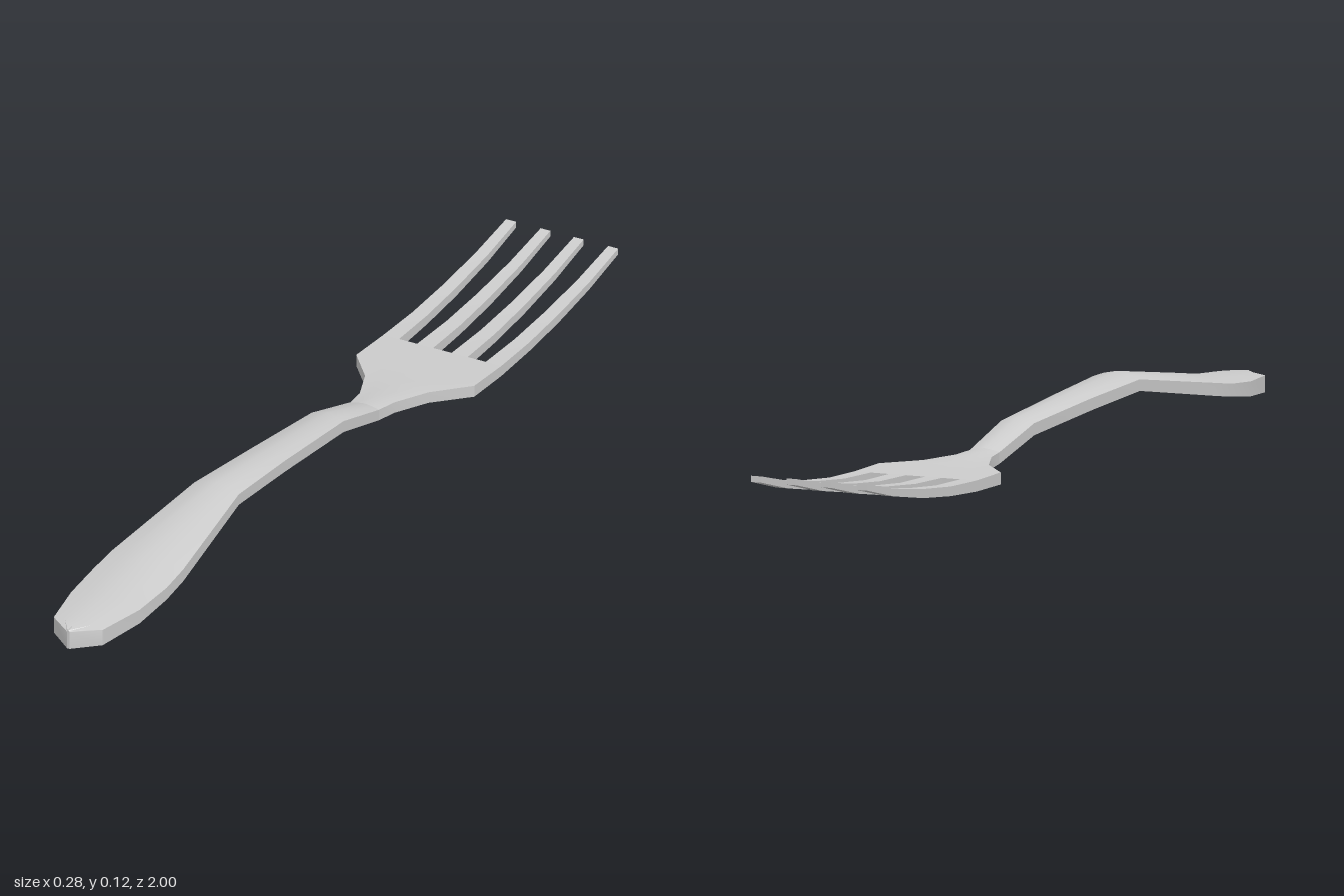
import * as THREE from 'three';
import { toCreasedNormals } from 'three/addons/utils/BufferGeometryUtils.js';

const material = new THREE.MeshStandardMaterial({ color: 0xcccccc });

// Skin a run of equal-sized cross-sections (counter-clockwise seen from +z, running towards -z)
function loft(name, rings) {
  const n = rings[0].length;
  const index = [];
  for (let i = 0; i < rings.length - 1; i++) {
    for (let j = 0; j < n; j++) {
      const a = i * n + j, b = i * n + (j + 1) % n;
      index.push(a, a + n, b, b, a + n, b + n);
    }
  }
  const last = (rings.length - 1) * n;
  for (let k = 1; k < n - 1; k++) {
    index.push(0, k, k + 1, last, last + k + 1, last + k);
  }
  const geometry = new THREE.BufferGeometry();
  geometry.setAttribute('position', new THREE.Float32BufferAttribute(rings.flat(2), 3));
  geometry.setIndex(index);
  const mesh = new THREE.Mesh(toCreasedNormals(geometry, 0.6), material);
  mesh.name = name;
  return mesh;
}

// Flat underside, upright sides and a crowned top
function crownedRing([z, w, bottom, edge, top]) {
  const shoulder = edge + (top - edge) * 0.6;
  return [
    [-w, bottom, z], [w, bottom, z], [w, edge, z],
    [w * 0.55, shoulder, z], [0, top, z], [-w * 0.55, shoulder, z], [-w, edge, z],
  ];
}

export function createModel() {
  const group = new THREE.Group();
  group.name = 'fork';

  // Handle and neck: z, half width, underside, side edge, crown
  const handle = [
    [1.0, 0.003, 0.0, 0.038, 0.042],
    [0.96, 0.058, 0.005, 0.04, 0.047],
    [0.85, 0.081, 0.013, 0.044, 0.056],
    [0.75, 0.087, 0.026, 0.053, 0.068],
    [0.68, 0.085, 0.037, 0.064, 0.079],
    [0.4, 0.053, 0.083, 0.107, 0.121],
    [0.2, 0.045, 0.07, 0.095, 0.106],
    [-0.05, 0.038, 0.051, 0.076, 0.086],
    [-0.2, 0.034, 0.012, 0.036, 0.042],
  ];
  // Flat head that flares out to the roots of the tines
  const head = [
    [-0.2, 0.034, 0.012, 0.036, 0.042],
    [-0.25, 0.041, 0.009, 0.033, 0.037],
    [-0.33, 0.075, 0.006, 0.03, 0.032],
    [-0.405, 0.14, 0.004, 0.029, 0.029],
    [-0.515, 0.14, 0.004, 0.027, 0.027],
  ];
  group.add(loft('handle', handle.map(crownedRing)));
  group.add(loft('head', head.map(crownedRing)));

  // Tines curve upward and taper: z, underside, top
  const curve = [
    [-0.515, 0.004, 0.027], [-0.63, 0.01, 0.03], [-0.75, 0.022, 0.041],
    [-0.88, 0.043, 0.059], [-1.0, 0.071, 0.084],
  ];
  // Inner and outer side of a tine at its root, then at its tip
  const tines = { inner: [0.022, 0.06, 0.028, 0.051], outer: [0.103, 0.14, 0.109, 0.133] };
  for (const [name, [r0, r1, t0, t1]] of Object.entries(tines)) {
    for (const side of [1, -1]) {
      const rings = curve.map(([z, bottom, top], i) => {
        const t = i / (curve.length - 1);
        const a = side * THREE.MathUtils.lerp(r0, t0, t);
        const b = side * THREE.MathUtils.lerp(r1, t1, t);
        const x0 = Math.min(a, b), x1 = Math.max(a, b);
        return [[x0, bottom, z], [x1, bottom, z], [x1, top, z], [x0, top, z]];
      });
      group.add(loft(`${name}Tine${side > 0 ? 'Left' : 'Right'}`, rings));
    }
  }
  return group;
}
